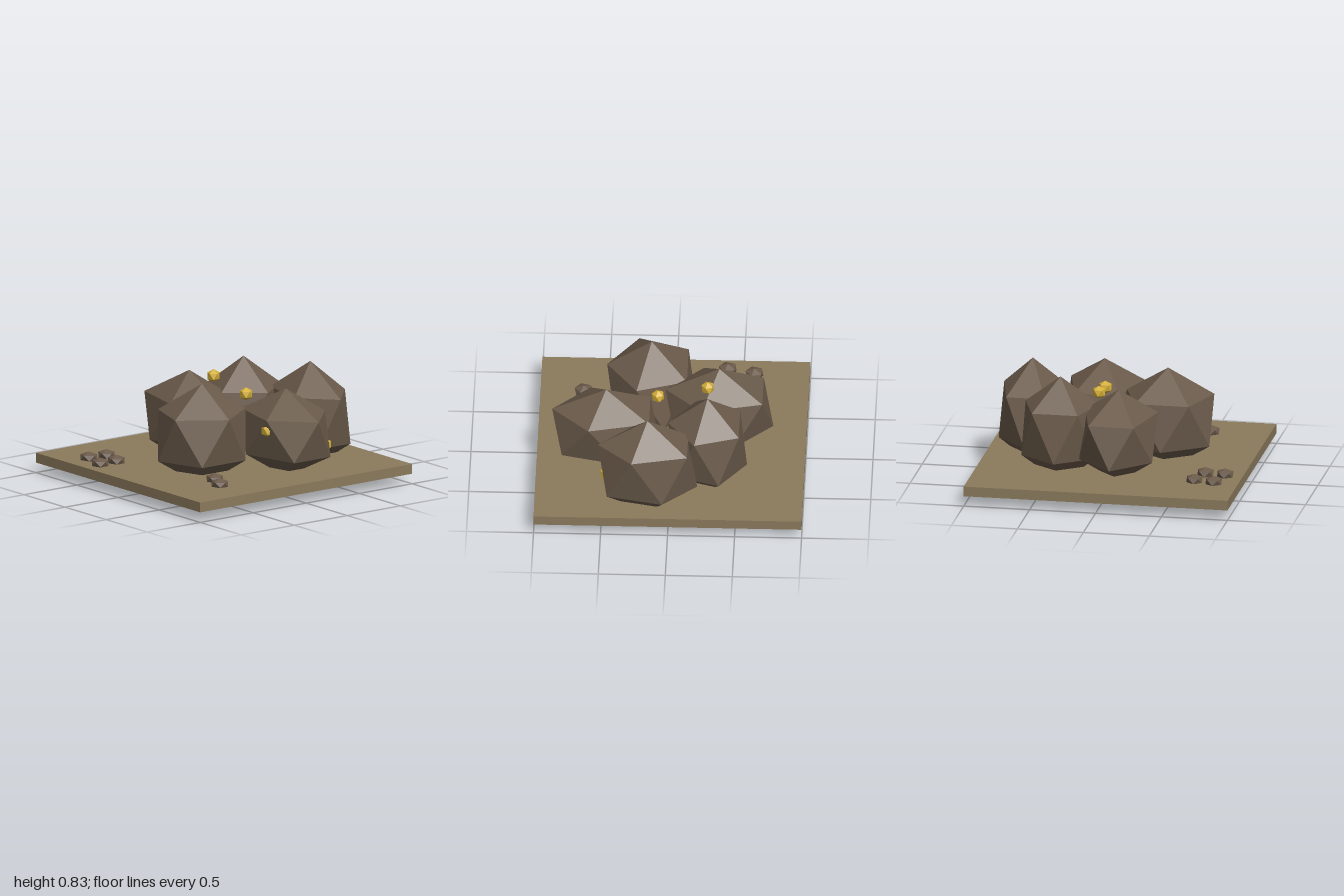
import * as THREE from 'three';

// Faceted stone: icosahedron with a pole straight up and an upper-ring corner toward +x
function stoneGeometry(rx, ry, rz) {
  const g = new THREE.IcosahedronGeometry(1, 0);
  g.rotateX(-Math.atan((1 + Math.sqrt(5)) / 2));
  g.rotateY(Math.PI / 2);
  g.scale(rx, ry, rz);
  g.computeVertexNormals();
  return g;
}

export function createModel() {
  const model = new THREE.Group();
  model.name = 'goldBearingRocks';

  const material = (name, color) => {
    const m = new THREE.MeshStandardMaterial({ color, flatShading: true });
    m.name = name;
    return m;
  };
  const earth = material('earth', 0x8b7a5c);
  const rock = material('rock', 0x6b5b4b);
  const gold = material('gold', 0xd4af37);

  const add = (name, geometry, mat, x, y, z) => {
    const mesh = new THREE.Mesh(geometry, mat);
    mesh.name = name;
    mesh.position.set(x, y, z);
    model.add(mesh);
  };

  // Ground slab
  add('ground', new THREE.BoxGeometry(2, 0.075, 2), earth, 0, 0.1175, 0);

  // Boulders: x, z, then radii
  [
    [0.16, -0.69, 0.414, 0.414, 0.28],
    [-0.278, -0.4, 0.33, 0.414, 0.33],
    [0.485, -0.205, 0.45, 0.338, 0.325],
    [-0.352, 0.055, 0.45, 0.358, 0.325],
    [0.162, 0.335, 0.372, 0.392, 0.39],
  ].forEach(([x, z, rx, ry, rz], i) =>
    add(`boulder${i + 1}`, stoneGeometry(rx, ry, rz), rock, x, 0.417, z));

  // Gold nuggets set in the boulders
  [
    [-0.27, 0.722, -0.11],
    [0.1, 0.65, -0.13],
    [-0.035, 0.45, -0.25],
    [0.47, 0.265, -0.587],
    [0.585, 0.485, 0.04],
  ].forEach(([x, y, z], i) =>
    add(`nugget${i + 1}`, stoneGeometry(0.052, 0.05, 0.055), gold, x, y, z));

  // Pebbles lying on the ground
  [
    [-0.565, 0.67], [-0.382, 0.72], [-0.588, 0.82],
    [-0.387, 0.87], [0.53, 0.497], [0.678, 0.567],
  ].forEach(([x, z], i) =>
    add(`pebble${i + 1}`, stoneGeometry(0.075, 0.042, 0.07), rock, x, 0.175, z));

  return model;
}
